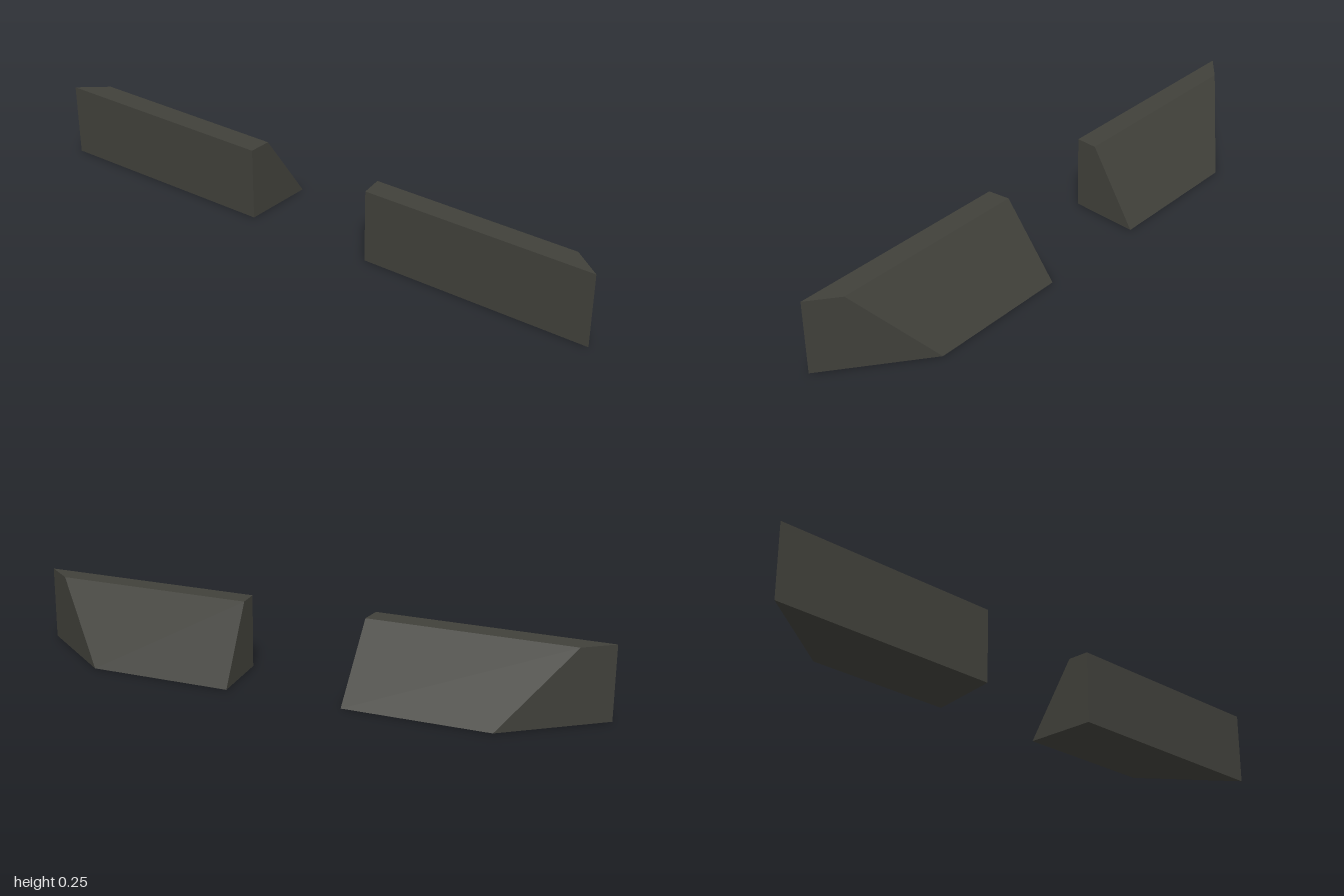
import * as THREE from 'three';

const HALF_WIDTH = 0.12;

// Wedge section in x and y: upright outer wall, narrow top, sloping inner wall
const section = new THREE.Shape([
  new THREE.Vector2(-HALF_WIDTH, 0),
  new THREE.Vector2(HALF_WIDTH, 0),
  new THREE.Vector2(-0.045, 0.25),
  new THREE.Vector2(-HALF_WIDTH, 0.25),
]);

// Extrudes the section along z, then cuts both ends at a slant across x
function wedgeGeometry(side) {
  const geometry = new THREE.ExtrudeGeometry(section, { depth: 1, bevelEnabled: false });
  const position = geometry.attributes.position;
  for (let i = 0; i < position.count; i++) {
    const t = (position.getX(i) + HALF_WIDTH) / (2 * HALF_WIDTH);
    const inner = THREE.MathUtils.lerp(0.22, 0.2, t);
    const outer = THREE.MathUtils.lerp(1, 0.695, t);
    const isOuter = (position.getZ(i) > 0.5) === (side > 0);
    position.setZ(i, side * (isOuter ? outer : inner));
  }
  geometry.computeVertexNormals();
  return geometry;
}

export function createModel() {
  const model = new THREE.Group();
  model.name = 'wedgePair';
  const darkOlive = new THREE.MeshStandardMaterial({ color: 0x40403a });
  darkOlive.name = 'darkOlive';

  // Mirrored wedges in front and behind
  for (const [name, side] of [['frontWedge', 1], ['backWedge', -1]]) {
    const wedge = new THREE.Mesh(wedgeGeometry(side), darkOlive);
    wedge.name = name;
    model.add(wedge);
  }
  return model;
}
